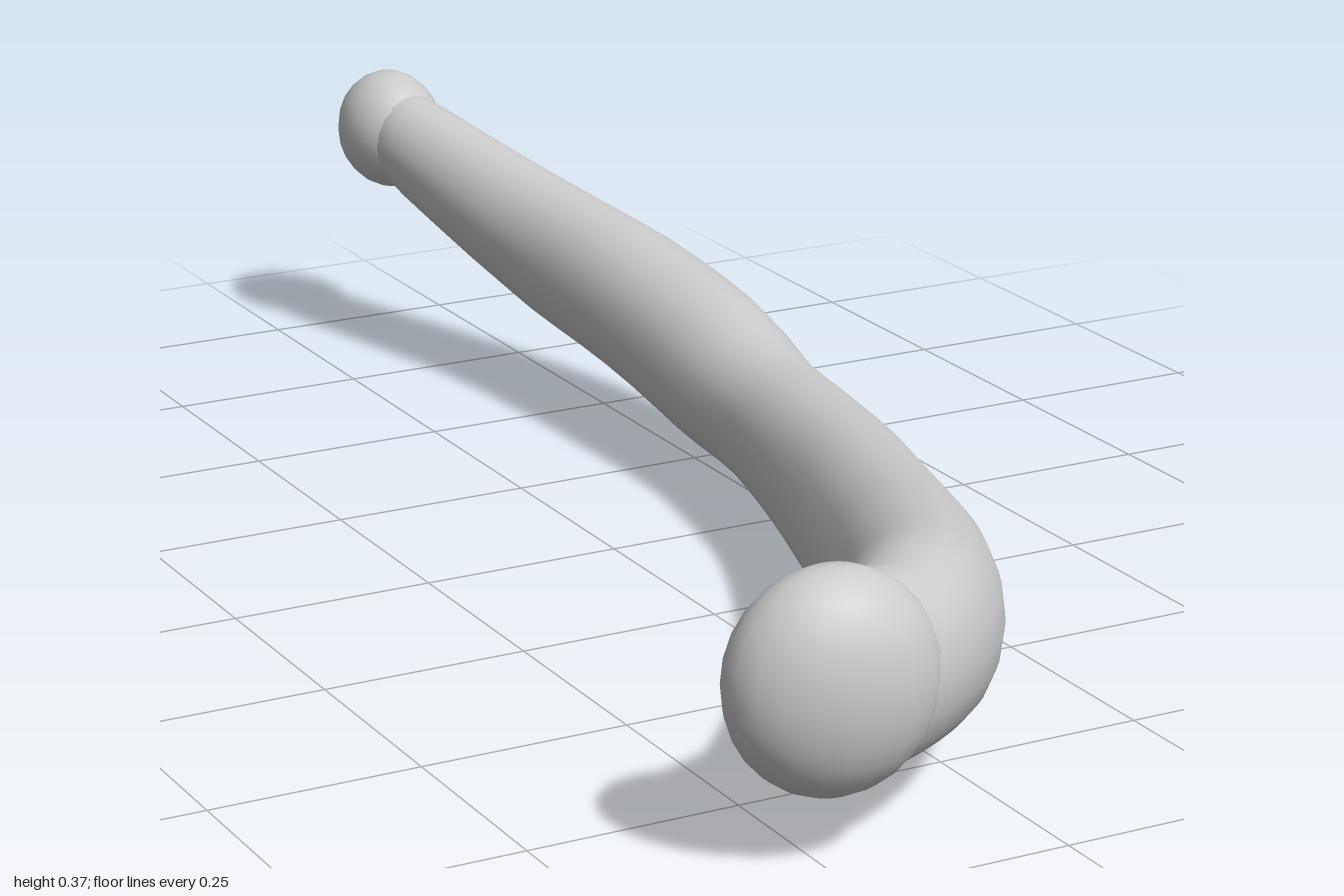
import * as THREE from 'three';

// Stations along the rod: x, centre y, z, half-width, half-height
const STATIONS = [
  [-0.21, 0.2, 0.91, 0.085, 0.11],
  [-0.135, 0.193, 0.87, 0.085, 0.105],
  [-0.06, 0.178, 0.79, 0.09, 0.114],
  [0.0, 0.162, 0.7, 0.092, 0.112],
  [0.07, 0.143, 0.56, 0.092, 0.108],
  [0.135, 0.12, 0.4, 0.09, 0.106],
  [0.19, 0.109, 0.24, 0.085, 0.104],
  [0.222, 0.115, 0.09, 0.08, 0.093],
  [0.242, 0.122, -0.04, 0.078, 0.086],
  [0.256, 0.143, -0.21, 0.088, 0.098],
  [0.248, 0.174, -0.4, 0.083, 0.096],
  [0.22, 0.203, -0.58, 0.071, 0.093],
  [0.188, 0.238, -0.7, 0.065, 0.084],
  [0.15, 0.284, -0.84, 0.058, 0.07],
  [0.14, 0.3, -0.9, 0.05, 0.06],
];

// Loft of elliptical rings whose planes stand upright across the path
function loft(stations, rings, sides) {
  const path = new THREE.CatmullRomCurve3(stations.map(s => new THREE.Vector3(s[0], s[1], s[2])));
  const size = new THREE.CatmullRomCurve3(stations.map(s => new THREE.Vector3(s[3], s[4], 0)));
  const up = new THREE.Vector3(0, 1, 0);
  const positions = [], index = [];
  for (let i = 0; i <= rings; i++) {
    const t = i / rings;
    const centre = path.getPoint(t), r = size.getPoint(t);
    const across = path.getTangent(t).cross(up).normalize();
    for (let j = 0; j < sides; j++) {
      const a = (j / sides) * Math.PI * 2;
      const p = centre.clone()
        .addScaledVector(across, Math.cos(a) * r.x)
        .addScaledVector(up, Math.sin(a) * r.y);
      positions.push(p.x, p.y, p.z);
      if (i < rings) {
        const k = (j + 1) % sides;
        const p0 = i * sides + j, p1 = p0 + sides;
        const q0 = i * sides + k, q1 = q0 + sides;
        index.push(p0, p1, q1, p0, q1, q0);
      }
    }
  }
  const geometry = new THREE.BufferGeometry();
  geometry.setAttribute('position', new THREE.Float32BufferAttribute(positions, 3));
  geometry.setIndex(index);
  geometry.computeVertexNormals();
  return geometry;
}

export function createModel() {
  const group = new THREE.Group();
  group.name = 'curvedRod';
  const material = new THREE.MeshStandardMaterial({ color: 0xcccccc, side: THREE.DoubleSide });

  function add(name, geometry) {
    const mesh = new THREE.Mesh(geometry, material);
    mesh.name = name;
    group.add(mesh);
    return mesh;
  }

  // Bent, tapering shaft; its open ends sit inside the knobs
  add('shaft', loft(STATIONS, 42, 20));

  // Wide, flattened knob at the front end
  const frontKnob = add('frontKnob', new THREE.SphereGeometry(1, 20, 14));
  frontKnob.scale.set(0.117, 0.125, 0.075);
  frontKnob.position.set(-0.24, 0.205, 0.92);
  frontKnob.rotation.y = -0.2;

  // Small rounded knob at the back end
  const backKnob = add('backKnob', new THREE.SphereGeometry(1, 18, 12));
  backKnob.scale.set(0.069, 0.08, 0.083);
  backKnob.position.set(0.138, 0.299, -0.917);

  return group;
}
